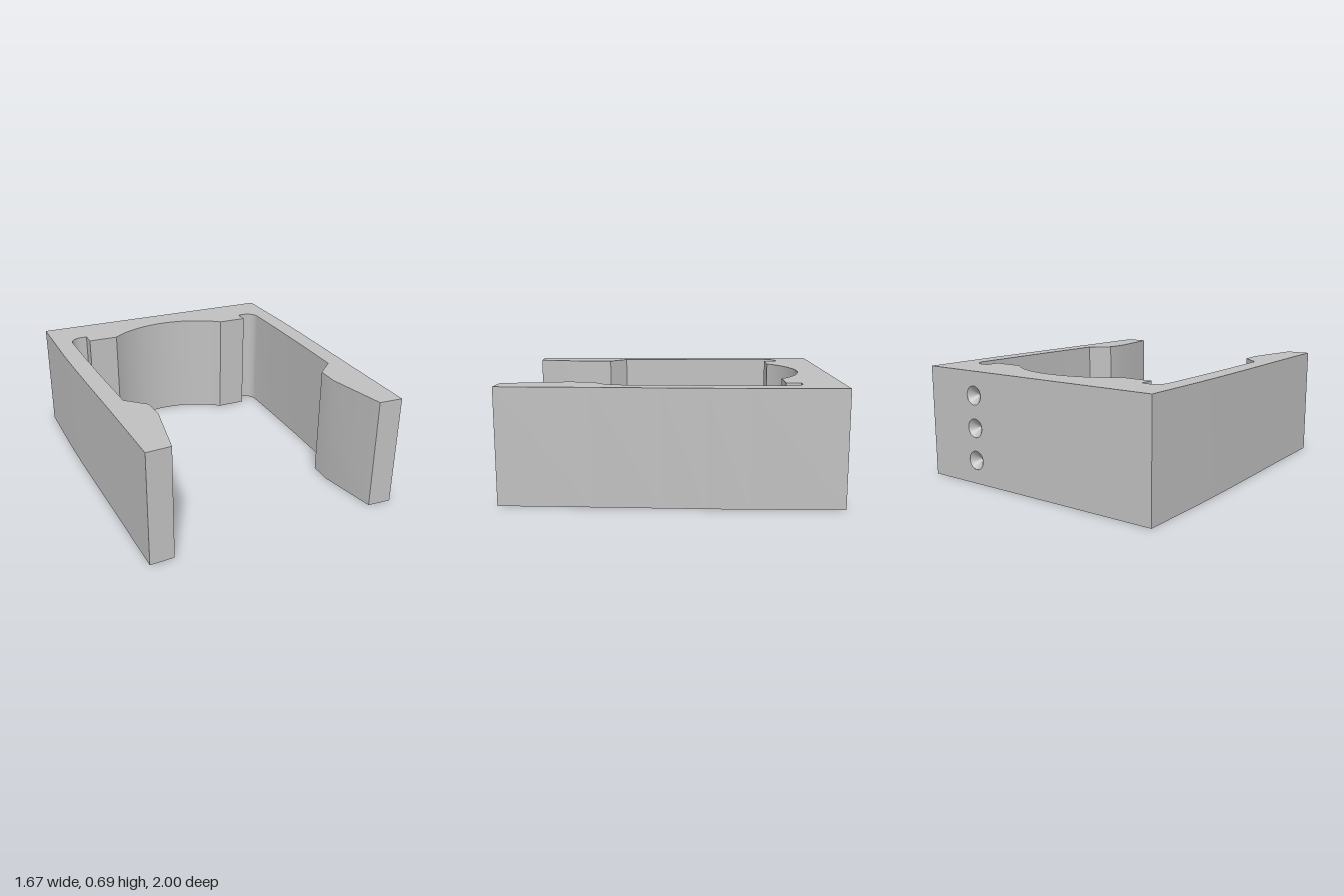
import * as THREE from 'three';
import { toCreasedNormals } from 'three/addons/utils/BufferGeometryUtils.js';

const HEIGHT = 0.695, HALF = 0.835, BACK = -1;
const DIMPLE = { x: 0.46, r: 0.058, depth: 0.05, ys: [0.147, 0.347, 0.547] };

// Points on an arc in the x-z plane
function arc(cx, cz, r, a0, a1, n) {
  return Array.from({ length: n + 1 }, (_, i) => {
    const a = a0 + ((a1 - a0) * i) / n;
    return [cx + r * Math.cos(a), cz + r * Math.sin(a)];
  });
}

// Half outline as [x, z]: outer wall, arm tip, grip pad, corner relief, cradle
function halfOutline() {
  const cradleR = 0.627, cradleZ = -0.82 + cradleR;
  const start = Math.atan2(-0.67 - cradleZ, 0.407);
  return [
    [HALF, BACK], [0.834, -0.45], [0.828, -0.2], [0.82, 0.05], [0.805, 0.45],
    [0.788, 1], [0.64, 0.992],
    [0.571, 0.615], [0.577, 0.47], [0.694, 0.36],
    [0.708, 0], [0.716, -0.35],
    ...arc(0.64, -0.68, 0.08, 0, -Math.PI / 2, 10),
    [0.6, -0.76], [0.6, -0.67],
    ...arc(0, cradleZ, cradleR, start, -Math.PI / 2, 20),
  ];
}

// Extruded clip, without its rear wall (added separately with holes)
function bodyGeometry() {
  const half = halfOutline();
  const mirrored = half.slice(0, -1).reverse().map(([x, z]) => [-x, z]);
  const outline = [...half, ...mirrored].map(([x, z]) => new THREE.Vector2(x, -z));
  const solid = new THREE.ExtrudeGeometry(new THREE.Shape(outline), {
    depth: HEIGHT, bevelEnabled: false,
  });
  solid.rotateX(-Math.PI / 2);
  const p = solid.attributes.position;
  const kept = [];
  for (let i = 0; i < p.count; i += 3) {
    if ([0, 1, 2].every((k) => Math.abs(p.getZ(i + k) - BACK) < 1e-4)) continue;
    for (let k = 0; k < 3; k++) kept.push(p.getX(i + k), p.getY(i + k), p.getZ(i + k));
  }
  const geo = new THREE.BufferGeometry();
  geo.setAttribute('position', new THREE.Float32BufferAttribute(kept, 3));
  return toCreasedNormals(geo, Math.PI / 9);
}

// Rear wall with round openings for the dimples
function rearWallGeometry() {
  const wall = new THREE.Shape();
  wall.moveTo(-HALF, 0).lineTo(HALF, 0).lineTo(HALF, HEIGHT).lineTo(-HALF, HEIGHT).closePath();
  for (const y of DIMPLE.ys) {
    wall.holes.push(new THREE.Path().absarc(-DIMPLE.x, y, DIMPLE.r, 0, Math.PI * 2, true));
  }
  return new THREE.ShapeGeometry(wall, 32).rotateY(Math.PI).translate(0, 0, BACK);
}

export function createModel() {
  const group = new THREE.Group();
  group.name = 'clip';
  const grey = new THREE.MeshStandardMaterial({ color: 0xc0c0c0 });
  grey.name = 'grey';

  const add = (name, geometry) => {
    const mesh = new THREE.Mesh(geometry, grey);
    mesh.name = name;
    group.add(mesh);
    return mesh;
  };

  add('clipBody', bodyGeometry());
  add('rearWall', rearWallGeometry());

  // Conical dimples sunk into the rear wall
  const cone = new THREE.LatheGeometry(
    [new THREE.Vector2(DIMPLE.r, 0), new THREE.Vector2(0, -DIMPLE.depth)], 32,
  ).rotateX(-Math.PI / 2);
  DIMPLE.ys.forEach((y, i) => add(`dimple${i + 1}`, cone).position.set(DIMPLE.x, y, BACK));

  return group;
}
